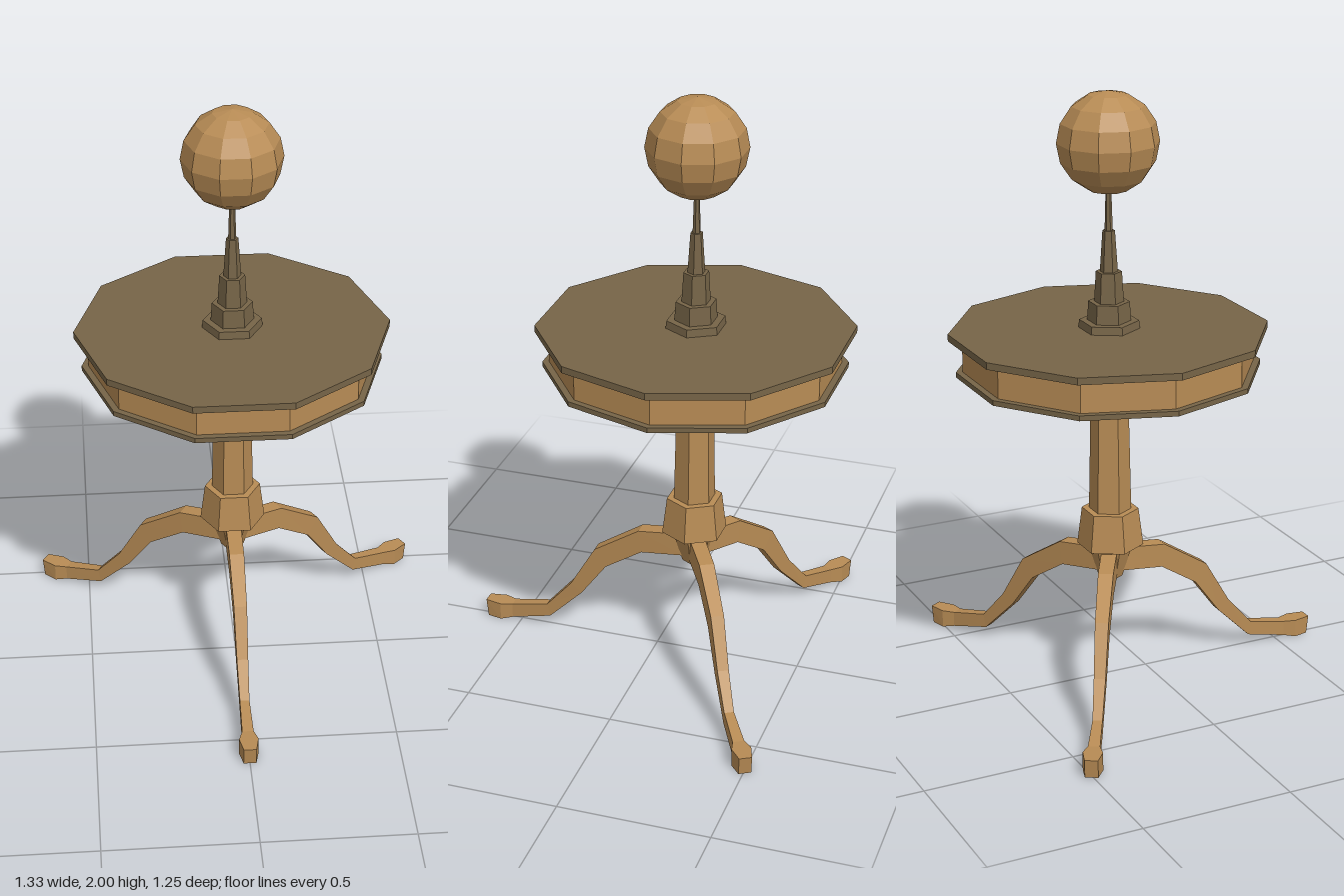
import * as THREE from 'three';

const wood = new THREE.MeshStandardMaterial({ color: 0xb88c55, flatShading: true });
wood.name = 'light wood';
const darkWood = new THREE.MeshStandardMaterial({ color: 0x776548, flatShading: true });
darkWood.name = 'dark wood';

// Upright prism or frustum with a corner pointing along +x
function prism(name, sides, y0, y1, r0, r1, material) {
  const geometry = new THREE.CylinderGeometry(r1, r0, y1 - y0, sides);
  geometry.rotateY(Math.PI / 2);
  const mesh = new THREE.Mesh(geometry, material);
  mesh.position.y = (y0 + y1) / 2;
  mesh.name = name;
  return mesh;
}

// Curved leg running out along +z, lofted through four-cornered sections
function legGeometry() {
  // [top z, top y, bottom z, bottom y, half width]
  const stations = [
    [0.0, 0.465, 0.03, 0.38, 0.026],
    [0.19, 0.445, 0.18, 0.365, 0.025],
    [0.35, 0.343, 0.31, 0.282, 0.022],
    [0.44, 0.19, 0.4, 0.16, 0.019],
    [0.53, 0.088, 0.52, 0.042, 0.016],
    [0.66, 0.064, 0.66, 0.012, 0.019],
    [0.7, 0.065, 0.7, 0.004, 0.032],
    [0.757, 0.066, 0.75, 0.004, 0.021],
  ];
  const positions = [];
  const index = [];
  for (const [tz, ty, bz, by, w] of stations) {
    positions.push(-w, ty, tz, w, ty, tz, w, by, bz, -w, by, bz);
  }
  for (let s = 0; s < stations.length - 1; s++) {
    for (let k = 0; k < 4; k++) {
      const a = s * 4 + k, b = s * 4 + (k + 1) % 4;
      index.push(a, a + 4, b, b, a + 4, b + 4);
    }
  }
  // End caps
  const e = (stations.length - 1) * 4;
  index.push(0, 1, 2, 0, 2, 3, e, e + 2, e + 1, e, e + 3, e + 2);
  const geometry = new THREE.BufferGeometry();
  geometry.setAttribute('position', new THREE.Float32BufferAttribute(positions, 3));
  geometry.setIndex(index);
  const flat = geometry.toNonIndexed();
  flat.computeVertexNormals();
  return flat;
}

export function createModel() {
  const model = new THREE.Group();
  model.name = 'pedestalTable';
  const body = new THREE.Group();
  body.name = 'table';
  body.position.z = -0.13;
  model.add(body);

  // Pedestal
  body.add(
    prism('pedestalTip', 6, 0.36, 0.46, 0.04, 0.07, wood),
    prism('collarUnderside', 6, 0.46, 0.475, 0.07, 0.11, wood),
    prism('collar', 6, 0.475, 0.602, 0.11, 0.094, wood),
    prism('column', 6, 0.602, 1.08, 0.07, 0.06, wood),
  );

  // Ten-sided drum top
  body.add(
    prism('lowerSlab', 10, 1.08, 1.097, 0.497, 0.497, darkWood),
    prism('drum', 10, 1.097, 1.203, 0.475, 0.475, wood),
    prism('tableTop', 10, 1.203, 1.226, 0.52, 0.52, darkWood),
  );

  // Stepped spire
  const spire = new THREE.Group();
  spire.name = 'spire';
  [
    [1.226, 1.252, 0.1, 0.097],
    [1.252, 1.315, 0.071, 0.067],
    [1.315, 1.415, 0.048, 0.042],
    [1.415, 1.55, 0.029, 0.02],
    [1.55, 1.69, 0.013, 0.009],
  ].forEach(([y0, y1, r0, r1], i) => spire.add(prism('spireTier' + (i + 1), 6, y0, y1, r0, r1, darkWood)));
  body.add(spire);

  // Faceted ball
  const ball = new THREE.Mesh(new THREE.SphereGeometry(0.165, 10, 8), wood);
  ball.name = 'ball';
  ball.position.y = 1.835;
  body.add(ball);

  // Three legs
  const geometry = legGeometry();
  ['frontLeg', 'backLeftLeg', 'backRightLeg'].forEach((name, i) => {
    const leg = new THREE.Mesh(geometry, wood);
    leg.name = name;
    leg.rotation.y = i * Math.PI * 2 / 3;
    body.add(leg);
  });

  return model;
}
